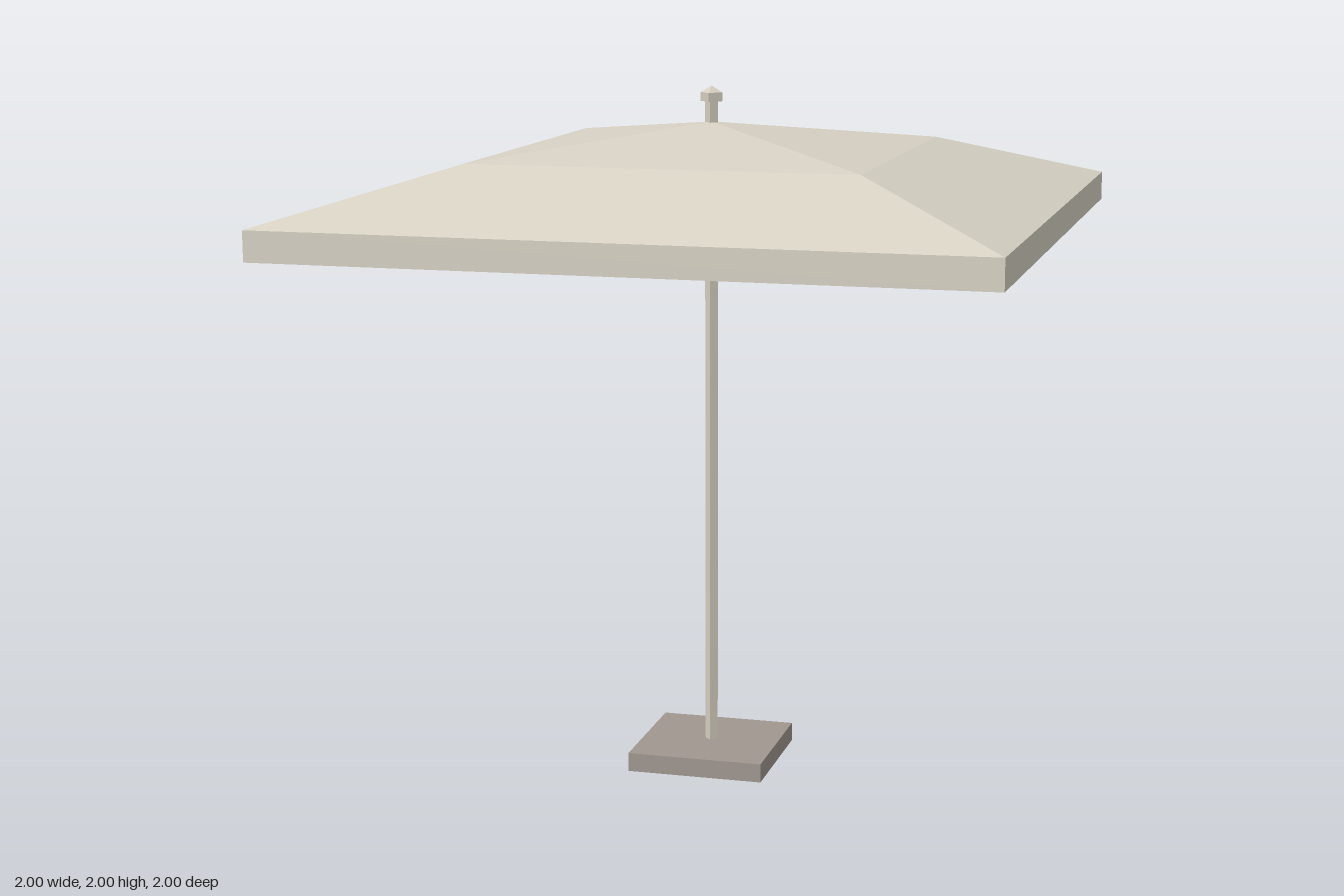
import * as THREE from 'three';

const paint = (name, color, extra = {}) => {
  const m = new THREE.MeshStandardMaterial({ color, flatShading: true, ...extra });
  m.name = name;
  return m;
};

// Four-sided shell from a [half width, height] profile, sides square to x and z
function squareShell(name, profile, material) {
  const points = profile.map(([half, y]) => new THREE.Vector2(half * Math.SQRT2, y));
  const geometry = new THREE.LatheGeometry(points, 4, Math.PI / 4).toNonIndexed();
  geometry.computeVertexNormals();
  const mesh = new THREE.Mesh(geometry, material);
  mesh.name = name;
  return mesh;
}

// Four-sided post with its corners on the x and z axes
function post(name, rTop, rBottom, y0, y1, material) {
  const mesh = new THREE.Mesh(new THREE.CylinderGeometry(rTop, rBottom, y1 - y0, 4), material);
  mesh.position.y = (y0 + y1) / 2;
  mesh.name = name;
  return mesh;
}

// Square bar between two points
function bar(name, a, b, thickness, material) {
  const mesh = new THREE.Mesh(new THREE.BoxGeometry(thickness, thickness, a.distanceTo(b)), material);
  mesh.position.copy(a).add(b).multiplyScalar(0.5);
  mesh.lookAt(b);
  mesh.name = name;
  return mesh;
}

export function createModel() {
  const fabric = paint('canvas', 0xd6d1c3, { side: THREE.DoubleSide });
  const wood = paint('pole cream', 0xd6cfc0);
  const stone = paint('base stone', 0xa0968f, { side: THREE.DoubleSide });

  const model = new THREE.Group();
  model.name = 'parasol';

  // Hollow foot, open underneath
  model.add(squareShell('base', [[0.2, 0], [0.2, 0.055], [0, 0.055]], stone));

  // Canopy: hanging valance, steep outer slope, shallow inner slope
  model.add(squareShell('valance', [[1, 1.59], [1, 1.675]], fabric));
  model.add(squareShell('canopy', [[1, 1.675], [0.55, 1.815], [0, 1.895]], fabric));

  // Pole and finial
  model.add(post('pole', 0.019, 0.019, 0.05, 1.96, wood));
  model.add(post('finialCap', 0.032, 0.032, 1.953, 1.978, wood));
  model.add(post('finialTip', 0, 0.032, 1.978, 1.997, wood));

  // Bent ribs beneath the four ridges
  const ribPath = [[0, 1.882], [0.55, 1.802], [0.975, 1.67]];
  for (const sx of [-1, 1]) {
    for (const sz of [-1, 1]) {
      const rib = new THREE.Group();
      rib.name = 'rib';
      const p = ribPath.map(([d, y]) => new THREE.Vector3(sx * d, y, sz * d));
      rib.add(bar('innerRib', p[0], p[1], 0.014, wood), bar('outerRib', p[1], p[2], 0.014, wood));
      model.add(rib);
    }
  }
  return model;
}
